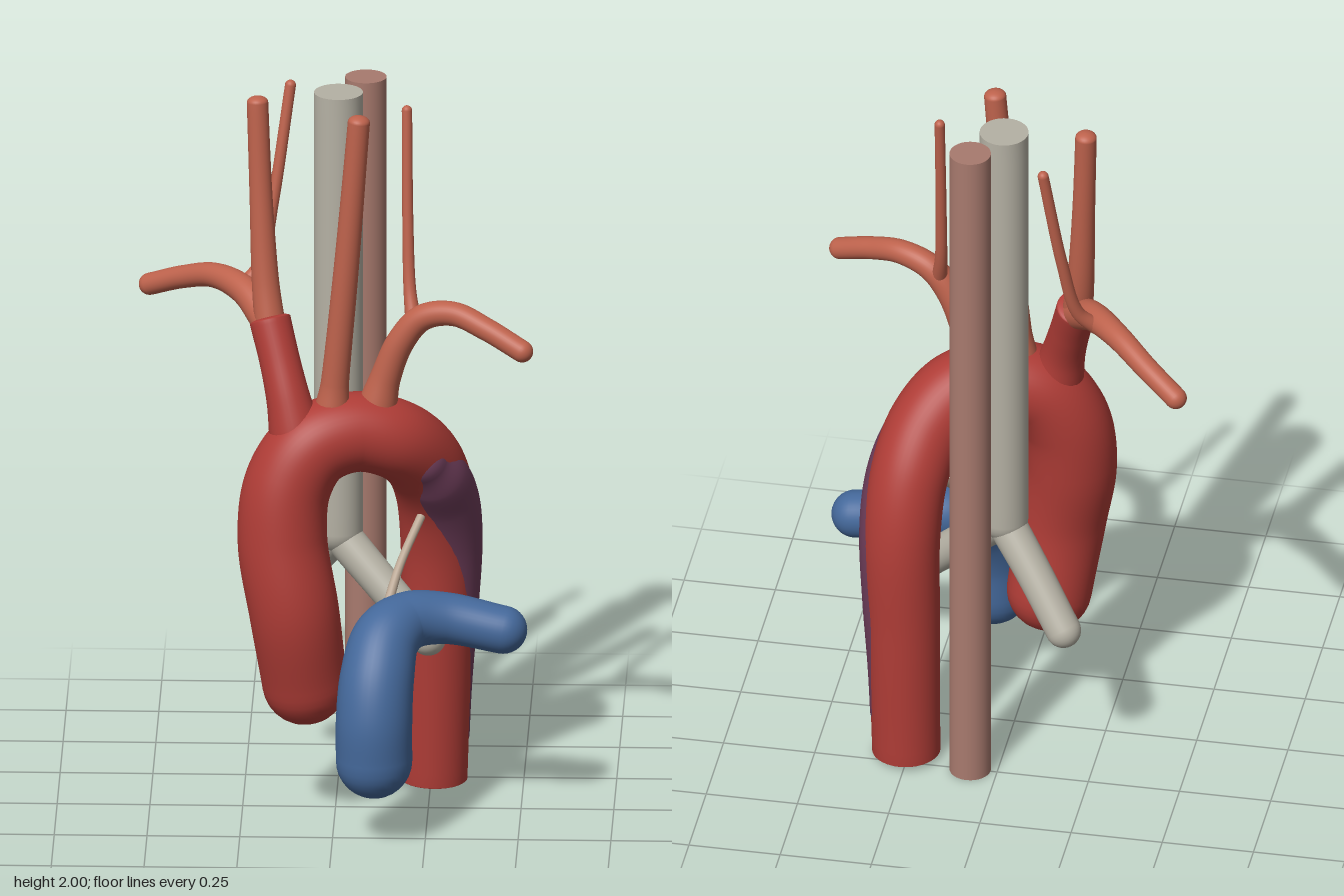
import * as THREE from 'three';

const mat = (name, color) => {
  const m = new THREE.MeshStandardMaterial({ color });
  m.name = name;
  return m;
};

// Sweeps a round section along points [x, y, z, radius].
// Each end is domed by its factor (1 = hemisphere) or flat when 0.
function vessel(points, startDome, endDome, sides = 32, steps = 10) {
  const path = new THREE.CatmullRomCurve3(points.map(p => new THREE.Vector3(p[0], p[1], p[2])));
  const radii = new THREE.SplineCurve(points.map(p => new THREE.Vector2(p[3], 0)));
  const n = (points.length - 1) * steps;
  const rings = [];
  let normal = null;
  for (let i = 0; i <= n; i++) {
    const t = i / n;
    const tangent = path.getTangent(t);
    if (!normal) {
      normal = Math.abs(tangent.x) < 0.8 ? new THREE.Vector3(1, 0, 0) : new THREE.Vector3(0, 0, 1);
    }
    normal = normal.clone().addScaledVector(tangent, -normal.dot(tangent)).normalize();
    rings.push({
      c: path.getPoint(t), r: radii.getPoint(t).x, t: tangent,
      n: normal, b: new THREE.Vector3().crossVectors(tangent, normal),
    });
  }
  // Rings closing an end, listed outwards
  const cap = (ring, dir, dome) => {
    if (dome === 0) return [{ ...ring }, { ...ring, r: 0 }];
    const out = [];
    for (let k = 1; k <= 8; k++) {
      const a = (k / 8) * Math.PI / 2;
      out.push({
        ...ring,
        c: ring.c.clone().addScaledVector(ring.t, dir * dome * ring.r * Math.sin(a)),
        r: k === 8 ? 0 : ring.r * Math.cos(a),
      });
    }
    return out;
  };
  const all = [...cap(rings[0], -1, startDome).reverse(), ...rings, ...cap(rings[n], 1, endDome)];

  const pos = [], index = [];
  all.forEach((ring, i) => {
    for (let j = 0; j < sides; j++) {
      const a = (j / sides) * Math.PI * 2;
      const v = ring.c.clone()
        .addScaledVector(ring.n, ring.r * Math.cos(a))
        .addScaledVector(ring.b, ring.r * Math.sin(a));
      pos.push(v.x, v.y, v.z);
      if (i === all.length - 1) continue;
      const p = i * sides + j, q = i * sides + (j + 1) % sides;
      index.push(p, q, p + sides, q, q + sides, p + sides);
    }
  });
  const g = new THREE.BufferGeometry();
  g.setAttribute('position', new THREE.Float32BufferAttribute(pos, 3));
  g.setIndex(index);
  g.computeVertexNormals();
  return g;
}

export function createModel() {
  const model = new THREE.Group();
  model.name = 'aorticArch';

  const red = mat('aorta red', 0xae3c36);
  const orange = mat('branch artery orange', 0xbd624c);
  const blue = mat('pulmonary blue', 0x44689a);
  const grey = mat('airway grey', 0xb5b1a4);
  const pink = mat('oesophagus pink', 0xa87a6e);
  const purple = mat('false channel purple', 0x6c3c58);
  const tan = mat('ligament tan', 0xb8a592);

  const add = (name, material, points, startDome = 1, endDome = 1, sides = 32) => {
    const mesh = new THREE.Mesh(vessel(points, startDome, endDome, sides), material);
    mesh.name = name;
    model.add(mesh);
  };

  // Ascending aorta, arch and descending aorta
  add('aorta', red, [
    [-0.08, 0.385, 0.085, 0.115], [-0.108, 0.6, 0.118, 0.121], [-0.14, 0.8, 0.098, 0.121],
    [-0.125, 0.95, 0.08, 0.118], [-0.06, 1.05, 0.06, 0.114], [0.05, 1.083, 0.03, 0.109],
    [0.155, 1.055, 0, 0.108], [0.225, 0.98, -0.065, 0.107], [0.262, 0.86, -0.14, 0.106],
    [0.273, 0.7, -0.185, 0.104], [0.265, 0.4, -0.2, 0.098], [0.257, 0.015, -0.207, 0.092],
  ], 1, 0.08, 48);

  // Second channel bulging from the outer side of the descending aorta
  add('falseChannel', purple, [
    [0.24, 0.985, -0.01, 0.065], [0.268, 0.93, -0.06, 0.085], [0.293, 0.84, -0.125, 0.09],
    [0.308, 0.7, -0.175, 0.083], [0.31, 0.5, -0.2, 0.069], [0.305, 0.3, -0.21, 0.058],
    [0.3, 0.14, -0.212, 0.055],
  ]);

  // Short trunk dividing into the right-hand arteries
  add('brachiocephalicTrunk', red, [
    [-0.1, 1.07, 0.07, 0.075], [-0.125, 1.18, 0.05, 0.06], [-0.15, 1.28, 0.015, 0.055],
    [-0.177, 1.38, -0.025, 0.056],
  ], 1, 0.2);

  // Neck and arm arteries
  add('rightCarotid', orange, [
    [-0.175, 1.35, -0.02, 0.042], [-0.19, 1.48, -0.045, 0.037], [-0.203, 1.72, -0.07, 0.031],
    [-0.213, 1.98, -0.088, 0.029],
  ], 1, 0.6);
  add('rightSubclavian', orange, [
    [-0.18, 1.37, -0.03, 0.045], [-0.245, 1.425, -0.125, 0.04], [-0.33, 1.435, -0.225, 0.034],
    [-0.42, 1.402, -0.305, 0.031], [-0.512, 1.358, -0.368, 0.03],
  ]);
  add('rightVertebral', orange, [
    [-0.255, 1.425, -0.165, 0.022], [-0.21, 1.48, -0.19, 0.018], [-0.175, 1.65, -0.225, 0.016],
    [-0.13, 1.965, -0.27, 0.015],
  ], 1, 1, 20);
  add('leftCarotid', orange, [
    [-0.008, 1.15, 0.05, 0.048], [0, 1.23, 0.052, 0.038], [0.03, 1.55, 0.06, 0.034],
    [0.065, 1.98, 0.065, 0.03],
  ], 1, 0.6);
  add('leftSubclavian', orange, [
    [0.11, 1.14, 0.018, 0.055], [0.135, 1.235, 0.022, 0.042], [0.178, 1.345, 0.03, 0.038],
    [0.235, 1.415, 0.042, 0.036], [0.32, 1.437, 0.07, 0.033], [0.41, 1.41, 0.115, 0.031],
    [0.508, 1.365, 0.163, 0.03],
  ]);
  add('leftVertebral', orange, [
    [0.212, 1.39, 0.03, 0.022], [0.2, 1.48, -0.005, 0.017], [0.194, 1.65, -0.035, 0.015],
    [0.19, 1.965, -0.077, 0.014],
  ], 1, 1, 20);

  // Pulmonary trunk and its left branch
  add('pulmonaryArtery', blue, [
    [0.113, 0.235, 0.286, 0.103], [0.113, 0.35, 0.283, 0.103], [0.12, 0.46, 0.248, 0.1],
    [0.142, 0.545, 0.185, 0.092], [0.2, 0.577, 0.122, 0.08], [0.3, 0.575, 0.092, 0.07],
    [0.455, 0.548, 0.104, 0.065],
  ], 1, 1, 40);

  // Cord joining the pulmonary artery to the aorta
  add('ligament', tan, [
    [0.14, 0.61, 0.14, 0.014], [0.175, 0.71, 0.05, 0.012], [0.235, 0.825, -0.065, 0.012],
  ], 1, 1, 16);

  // Windpipe with two bronchi
  add('windpipe', grey, [[0.004, 1.998, -0.127, 0.066], [0.004, 1.35, -0.127, 0.066], [0.004, 0.75, -0.127, 0.066]], 0, 1);
  for (const [name, x, z] of [['leftBronchus', 0.25, 0], ['rightBronchus', -0.182, -0.252]]) {
    add(name, grey, [[0.004, 0.74, -0.127, 0.052], [x / 2, 0.615, (z - 0.127) / 2, 0.049], [x, 0.485, z, 0.048]]);
  }

  // Oesophagus
  const oesophagus = new THREE.Mesh(new THREE.CylinderGeometry(0.056, 0.056, 2, 32), pink);
  oesophagus.name = 'oesophagus';
  oesophagus.position.set(0.074, 1, -0.248);
  model.add(oesophagus);

  return model;
}
